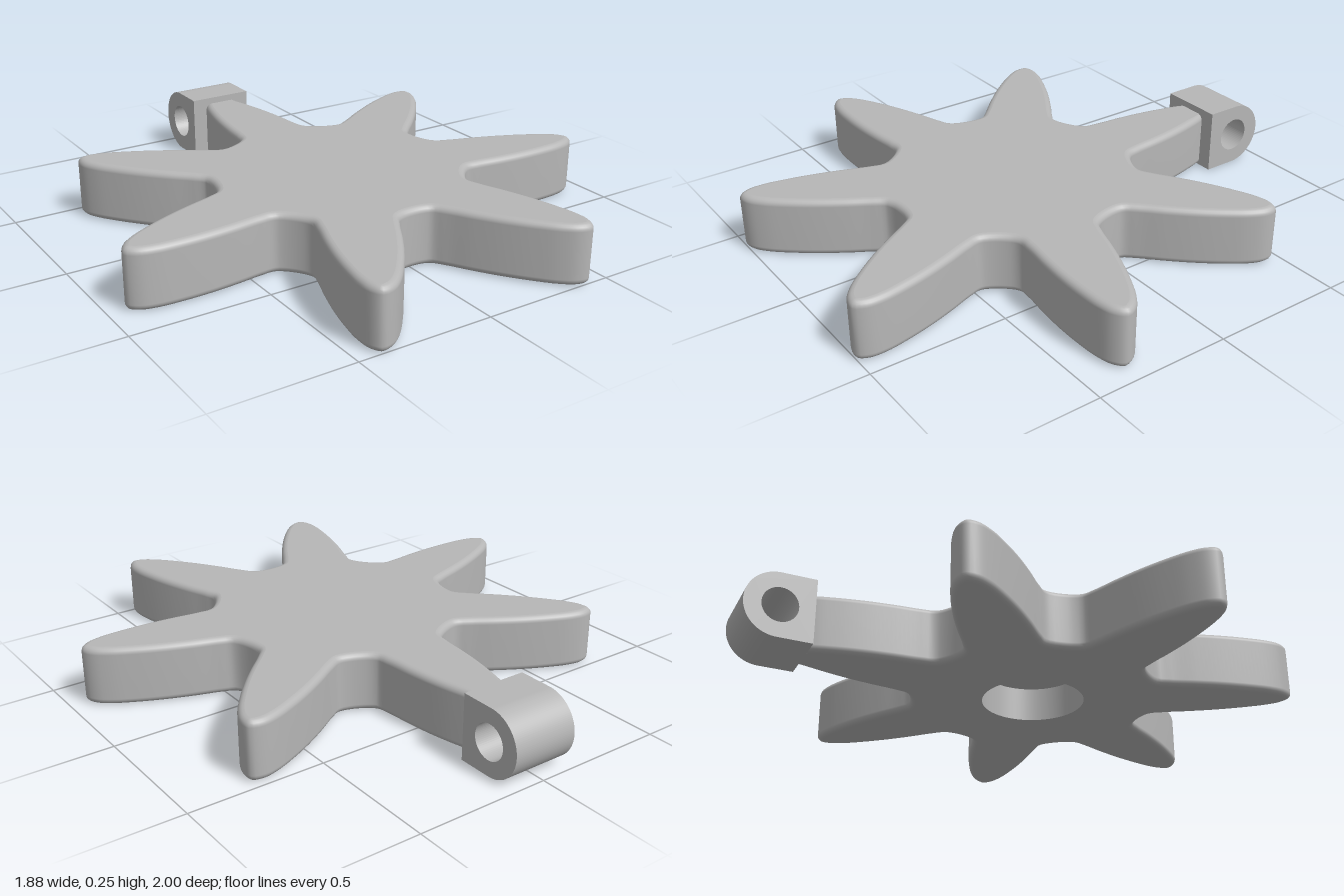
import * as THREE from 'three';

const HEIGHT = 0.22, BEVEL = 0.024, CENTRE_Z = 0.135, HOLE_R = 0.19, HOLE_DEPTH = 0.13;

// Outline of the seven-armed body as clockwise plan points (x, -z)
function bodyOutline() {
  const half = [[0.449, 0.15], [0.5, 0.137], [0.6, 0.127], [0.7, 0.113], [0.8, 0.092], [0.885, 0.067], [0.938, 0.038]];
  const arm = [
    ...half.map(([r, w]) => [r, -w]),
    [0.962, 0],
    ...half.slice().reverse(),
  ];
  const pts = [];
  for (let k = 0; k < 7; k++) {
    const a = (k * Math.PI * 2) / 7, s = Math.sin(a), c = Math.cos(a);
    for (const [r, w] of arm) pts.push(new THREE.Vector3(r * s + w * c, r * c - w * s - CENTRE_Z, 0));
  }
  const curve = new THREE.CatmullRomCurve3(pts, true, 'centripetal');
  // The back arm stops inside the hinge block
  return curve.getSpacedPoints(560).slice(0, -1).filter((p) => p.y < 0.78);
}

// Shift every outline point inwards along its normal
function inset(pts, d) {
  const n = pts.length;
  return pts.map((p, i) => {
    const t = pts[(i + 1) % n].clone().sub(pts[(i + n - 1) % n]).normalize();
    return new THREE.Vector2(p.x + t.y * d, p.y - t.x * d);
  });
}

// Side wall with rounded upper and lower edges
function wallGeometry(outline) {
  const rings = [], steps = 5;
  for (let j = 0; j <= steps; j++) {
    const a = (j / steps) * Math.PI / 2;
    rings.push([BEVEL * (1 - Math.sin(a)), HEIGHT - BEVEL * (1 - Math.cos(a))]);
  }
  for (let j = steps; j >= 0; j--) rings.push([rings[j][0], HEIGHT - rings[j][1]]);
  const n = outline.length, pos = [], idx = [];
  rings.forEach(([d, y], j) => {
    for (const p of inset(outline, d)) pos.push(p.x, y, -p.y);
    if (j === rings.length - 1) return;
    for (let i = 0; i < n; i++) {
      const a = j * n + i, b = j * n + ((i + 1) % n);
      idx.push(a, b, a + n, b, b + n, a + n);
    }
  });
  const g = new THREE.BufferGeometry();
  g.setAttribute('position', new THREE.Float32BufferAttribute(pos, 3));
  g.setIndex(idx);
  g.computeVertexNormals();
  return g;
}

export function createModel() {
  const group = new THREE.Group();
  const grey = new THREE.MeshStandardMaterial({ color: 0xb6b6b6 });
  grey.name = 'plain grey';
  const add = (name, geometry, parent = group) => {
    const mesh = new THREE.Mesh(geometry, grey);
    mesh.name = name;
    parent.add(mesh);
    return mesh;
  };

  // Seven-armed body
  const body = new THREE.Group();
  body.name = 'starBody';
  group.add(body);
  const outline = bodyOutline();
  add('bodyWall', wallGeometry(outline), body);

  const rim = inset(outline, BEVEL);
  const top = new THREE.ShapeGeometry(new THREE.Shape(rim));
  add('bodyTop', top.rotateX(-Math.PI / 2).translate(0, HEIGHT, 0), body);

  const underside = new THREE.Shape(rim.map((p) => new THREE.Vector2(p.x, -p.y)));
  underside.holes.push(new THREE.Path().absarc(0, CENTRE_Z, HOLE_R, 0, Math.PI * 2, true));
  add('bodyUnderside', new THREE.ShapeGeometry(underside, 32).rotateX(Math.PI / 2), body);

  // Round blind recess in the underside: inward-facing wall and ceiling
  const recess = new THREE.LatheGeometry(
    [new THREE.Vector2(HOLE_R, HOLE_DEPTH), new THREE.Vector2(HOLE_R, 0)], 64);
  add('recessWall', recess.translate(0, 0, CENTRE_Z), body);
  const ceiling = new THREE.CircleGeometry(HOLE_R, 64).rotateX(Math.PI / 2);
  add('recessCeiling', ceiling.translate(0, HOLE_DEPTH, CENTRE_Z), body);

  // Hinge block at the back: square in front, round behind, bored across
  const R = 0.1225, boreZ = 0.8775;
  const profile = new THREE.Shape();
  profile.moveTo(0.75, 0);
  profile.lineTo(boreZ, 0);
  profile.absarc(boreZ, R, R, -Math.PI / 2, Math.PI / 2, false);
  profile.lineTo(0.75, 2 * R);
  profile.closePath();
  profile.holes.push(new THREE.Path().absarc(0.873, R, 0.065, 0, Math.PI * 2, true));
  const hinge = new THREE.ExtrudeGeometry(profile, { depth: 0.25, bevelEnabled: false, curveSegments: 32 });
  add('hingeBlock', hinge.translate(0, 0, -0.125).rotateY(Math.PI / 2));

  return group;
}
